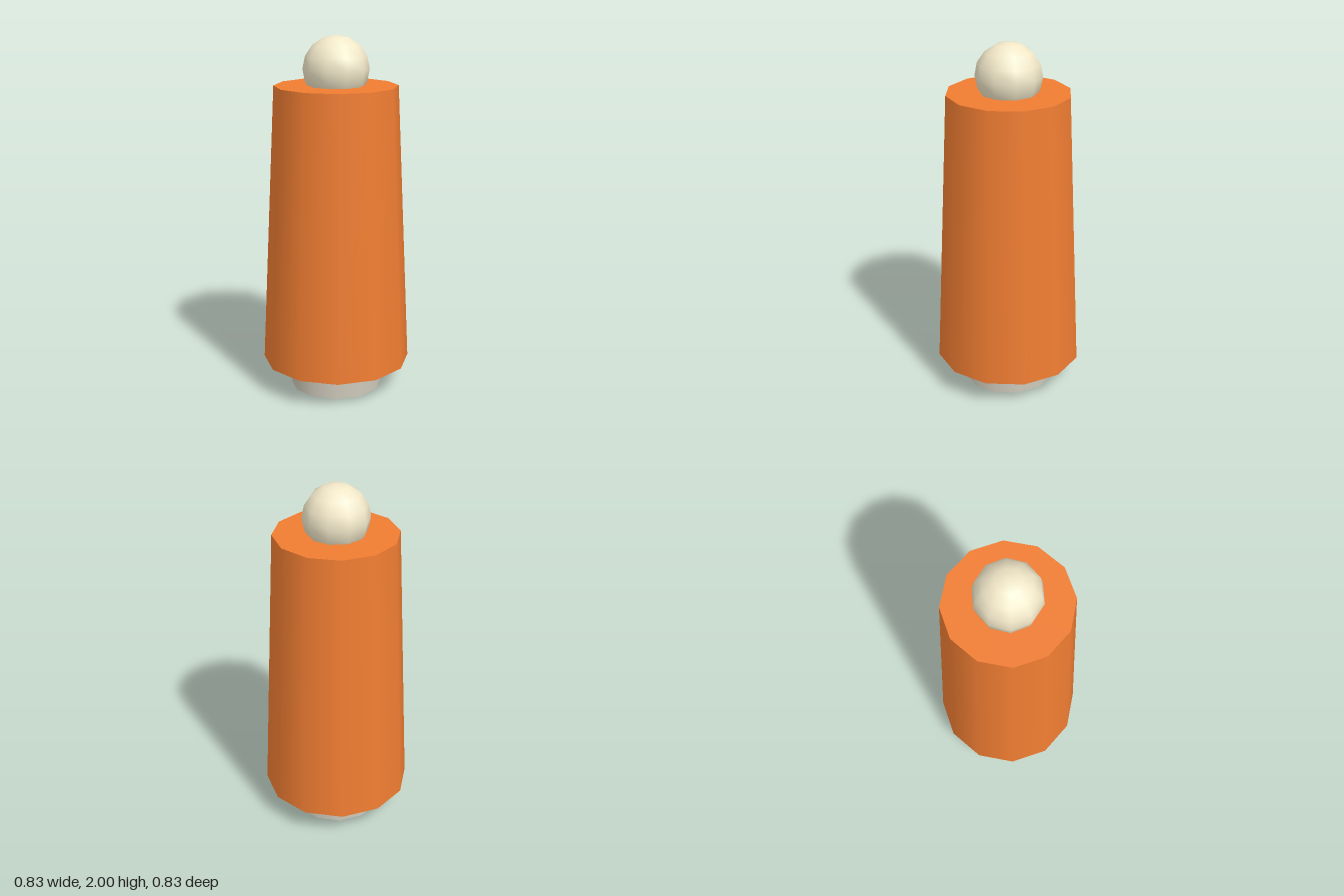
import * as THREE from 'three';

export function createModel() {
  const model = new THREE.Group();

  const add = (name, geometry, color, y) => {
    const mesh = new THREE.Mesh(geometry, new THREE.MeshStandardMaterial({ color }));
    mesh.name = name;
    mesh.position.y = y;
    model.add(mesh);
  };

  // Short foot, tapering slightly and running up into the body
  add('foot', new THREE.CylinderGeometry(0.24, 0.26, 0.31, 12), 0xc9c4b6, 0.155);

  // Tall tapered body with twelve smooth-shaded sides
  add('body', new THREE.CylinderGeometry(0.34, 0.416, 1.57, 12), 0xf07d32, 0.945);

  // Ball resting in the top of the body
  add('ball', new THREE.SphereGeometry(0.182, 10, 8), 0xf2e8c9, 1.818);

  return model;
}
